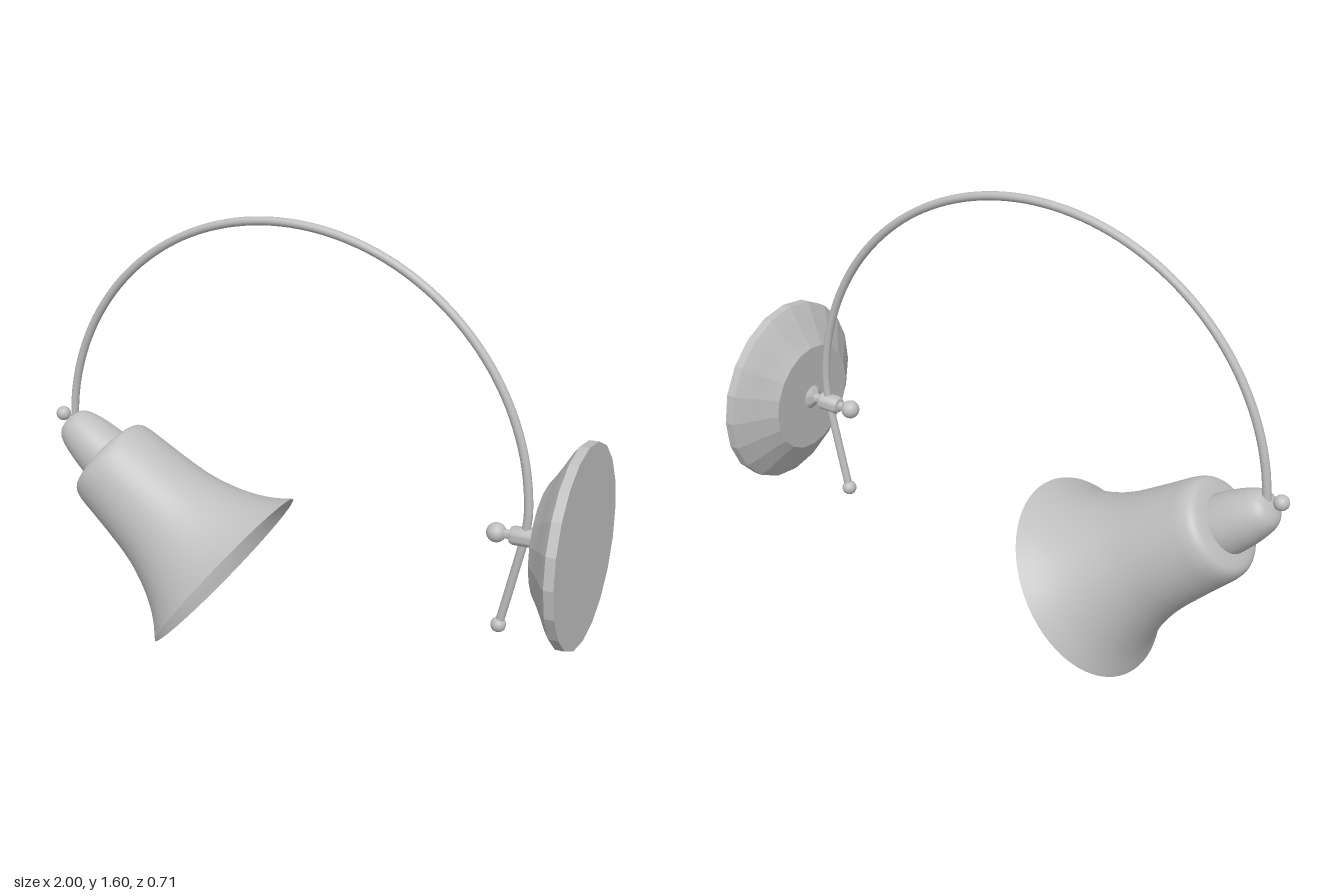
import * as THREE from 'three';
import { toCreasedNormals } from 'three/addons/utils/BufferGeometryUtils.js';

export function createModel() {
  const model = new THREE.Group();
  model.name = 'wallLamp';
  const metal = new THREE.MeshStandardMaterial({ color: 0xbfbfbf, side: THREE.DoubleSide });
  metal.name = 'grey metal';

  const add = (parent, name, geometry, x = 0, y = 0) => {
    const mesh = new THREE.Mesh(geometry, metal);
    mesh.name = name;
    mesh.position.set(x, y, 0);
    parent.add(mesh);
    return mesh;
  };
  const vectors = (list) => list.map(([x, y]) => new THREE.Vector2(x, y));
  const ball = (r) => new THREE.SphereGeometry(r, 20, 14);
  // Lathe with edges kept sharp above the crease angle
  const turned = (list, sides, crease) =>
    toCreasedNormals(new THREE.LatheGeometry(vectors(list), sides), crease);

  // Shade and its cap: local y runs from the open rim up to the arm
  const head = new THREE.Group();
  head.name = 'lampHead';
  head.position.set(-0.32, 0.29, 0);
  head.rotation.z = 0.931;
  model.add(head);

  const flare = new THREE.SplineCurve(vectors([
    [0.353, 0], [0.303, 0.06], [0.26, 0.135], [0.227, 0.22], [0.207, 0.3],
    [0.193, 0.4], [0.182, 0.5], [0.176, 0.55], [0.164, 0.584], [0.14, 0.6], [0.09, 0.606],
  ])).getPoints(40);
  add(head, 'shade', new THREE.LatheGeometry(flare, 64));

  const capCurve = new THREE.SplineCurve(vectors([
    [0.103, 0.59], [0.099, 0.63], [0.087, 0.7], [0.069, 0.757], [0.045, 0.782], [0, 0.79],
  ])).getPoints(20);
  add(head, 'shadeCap', new THREE.LatheGeometry(capCurve, 32));
  add(head, 'capBead', ball(0.026), 0, 0.82);

  // Arched arm: most of a circle, then a straight tail
  const points = [];
  for (let i = 0; i <= 30; i++) {
    const a = Math.PI * (0.985 - 0.985 * i / 30);
    points.push(new THREE.Vector3(-0.07 + 0.86 * Math.cos(a), 0.73 + 0.86 * Math.sin(a), 0));
  }
  for (const [x, y] of [[0.779, 0.64], [0.758, 0.54], [0.737, 0.44], [0.713, 0.33]]) {
    points.push(new THREE.Vector3(x, y, 0));
  }
  add(model, 'arm', new THREE.TubeGeometry(new THREE.CatmullRomCurve3(points), 90, 0.0145, 10));
  add(model, 'armEndBead', ball(0.026), 0.711, 0.326);

  // Wall mount: local y runs from the wall towards the shade, slightly tilted
  const mount = new THREE.Group();
  mount.name = 'wallMount';
  mount.position.set(0.984, 0.67, 0);
  mount.rotation.z = Math.PI / 2 + 0.04;
  model.add(mount);

  add(mount, 'wallPlate', turned([
    [0, 0], [0.335, 0], [0.335, 0.032], [0.308, 0.052], [0.265, 0.078],
    [0.228, 0.102], [0.197, 0.125], [0, 0.125],
  ], 20, 0.1));
  add(mount, 'pivot', turned([
    [0.045, 0.124], [0.036, 0.132], [0.018, 0.142], [0.015, 0.163], [0.026, 0.165], [0.032, 0.173],
    [0.032, 0.238], [0.026, 0.248], [0.016, 0.25], [0.014, 0.28],
  ], 24, 0.6));
  add(mount, 'pivotKnob', ball(0.033), 0, 0.297);

  return model;
}
